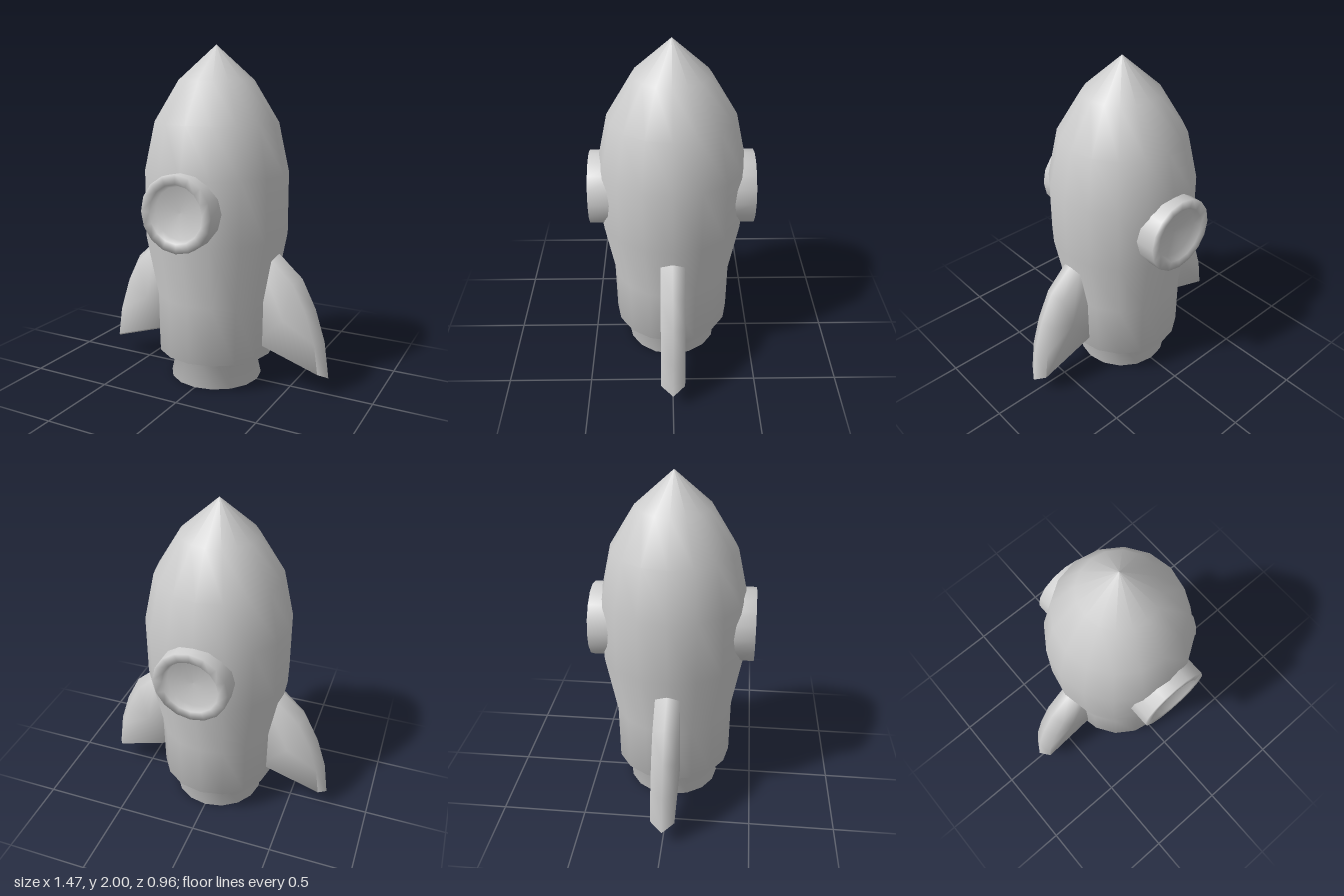
import * as THREE from 'three';
import { toCreasedNormals } from 'three/addons/utils/BufferGeometryUtils.js';

const material = new THREE.MeshStandardMaterial({ color: 0xcccccc });

function lathe(name, profile, segments = 16) {
  const points = profile.map(([r, y]) => new THREE.Vector2(r, y));
  const mesh = new THREE.Mesh(new THREE.LatheGeometry(points, segments), material);
  mesh.name = name;
  return mesh;
}

// Fin: an outer ridge loop at z = 0 between two smaller face loops at z = +-0.07
function finGeometry() {
  const ridge = [[0.3, 0.24], [0.735, 0.1], [0.705, 0.32], [0.645, 0.51], [0.56, 0.68], [0.41, 0.812], [0.3, 0.86]];
  const face = [[0.3, 0.265], [0.69, 0.14], [0.665, 0.32], [0.61, 0.495], [0.53, 0.655], [0.405, 0.775], [0.3, 0.82]];
  const n = ridge.length, half = 0.07;
  const positions = [];
  face.forEach(([x, y]) => positions.push(x, y, -half));
  ridge.forEach(([x, y]) => positions.push(x, y, 0));
  face.forEach(([x, y]) => positions.push(x, y, half));
  positions.push(0.47, 0.43, -half, 0.47, 0.43, half);
  const index = [];
  for (let i = 0; i < n; i++) {
    const j = (i + 1) % n;
    for (const a of [0, n]) {
      index.push(a + i, a + j, a + n + j, a + i, a + n + j, a + n + i);
    }
    index.push(3 * n, j, i, 3 * n + 1, 2 * n + i, 2 * n + j);
  }
  const geometry = new THREE.BufferGeometry();
  geometry.setAttribute('position', new THREE.Float32BufferAttribute(positions, 3));
  geometry.setIndex(index);
  return toCreasedNormals(geometry, 1.3);
}

export function createModel() {
  const rocket = new THREE.Group();
  rocket.name = 'rocket';

  // Hull with its hollow exhaust nozzle, as one turned profile
  rocket.add(lathe('hull', [
    [0, 0.1], [0.17, 0.09], [0.2, 0.01], [0.28, 0], [0.24, 0.18], [0.355, 0.18],
    [0.36, 0.53], [0.43, 0.9], [0.43, 1.27], [0.367, 1.56], [0.222, 1.8], [0, 2],
  ]));

  // Dished portholes, front and back
  for (const side of [1, -1]) {
    const porthole = lathe(side > 0 ? 'frontPorthole' : 'backPorthole', [
      [0.22, 0.3], [0.22, 0.482], [0.165, 0.482], [0.15, 0.44], [0, 0.432],
    ]);
    porthole.rotation.x = side * Math.PI / 2;
    porthole.position.y = 1.09;
    rocket.add(porthole);
  }

  // Side fins
  const geometry = finGeometry();
  for (const [name, angle] of [['leftFin', 0], ['rightFin', Math.PI]]) {
    const fin = new THREE.Mesh(geometry, material);
    fin.name = name;
    fin.rotation.y = angle;
    rocket.add(fin);
  }
  return rocket;
}
